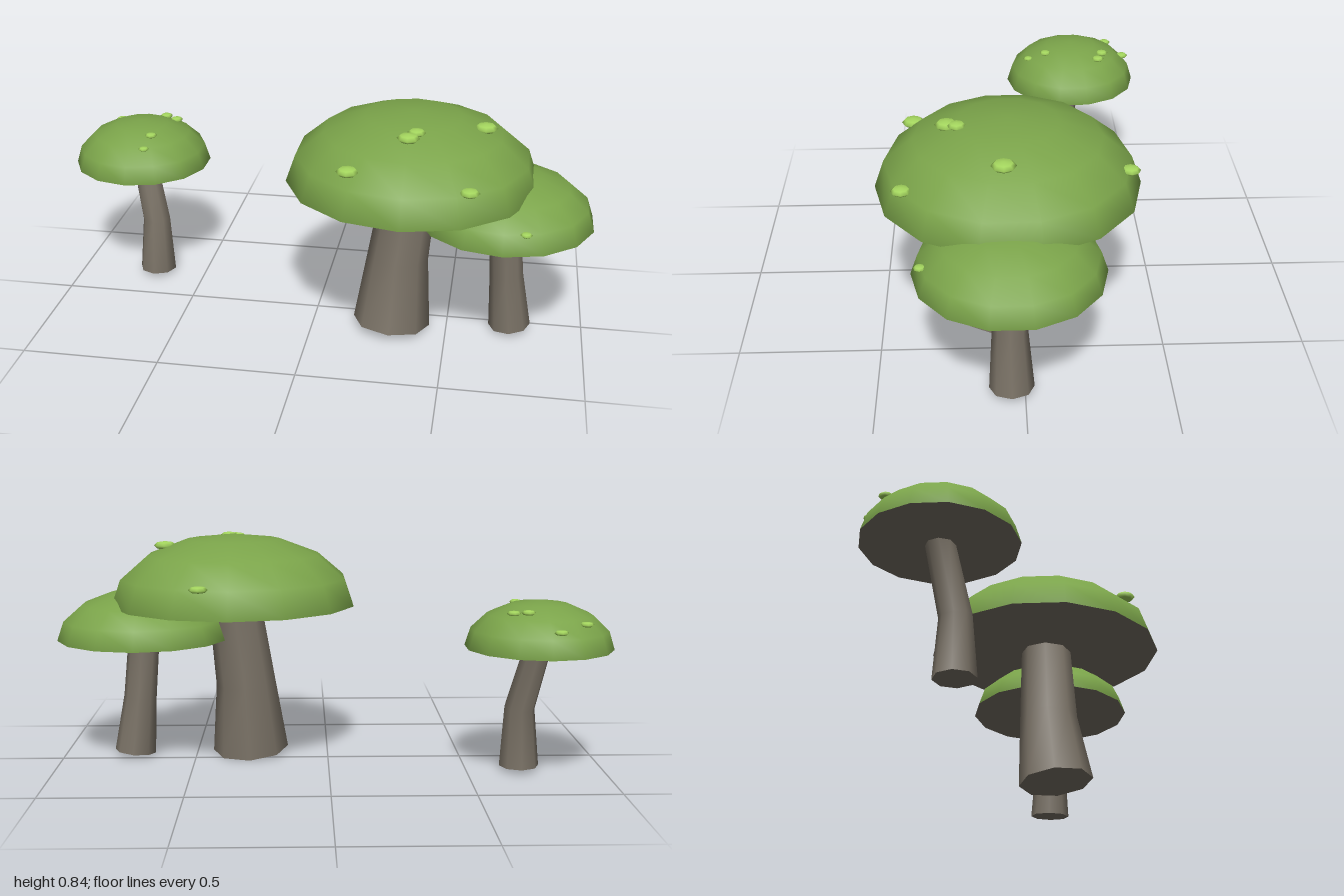
import * as THREE from 'three';
import { toCreasedNormals } from 'three/addons/utils/BufferGeometryUtils.js';

const flat = (name, color) => {
  const m = new THREE.MeshStandardMaterial({ color });
  m.name = name;
  return m;
};

// Each mushroom: cap centre (rim height), radius and height;
// stem rings as [x, y, z, radius]; spots as [x, z, radius]
const MUSHROOMS = [
  {
    name: 'largeMushroom', centre: [0.35, 0.585, 0.045], radius: 0.455, height: 0.26,
    stem: [[0.295, 0.016, 0.087, 0.143], [0.31, 0.28, 0.06, 0.112], [0.35, 0.6, 0.05, 0.098]],
    spots: [[0.16, 0.37, 0.04], [0.35, 0.25, 0.04], [0.375, 0.215, 0.032],
      [0.57, 0.395, 0.035], [0.605, 0.065, 0.042], [0.45, -0.36, 0.034]],
  },
  {
    name: 'mediumMushroom', centre: [0.69, 0.455, 0.05], radius: 0.32, height: 0.185,
    stem: [[0.733, 0.017, 0.045, 0.077], [0.71, 0.23, 0.05, 0.061], [0.69, 0.465, 0.05, 0.058]],
    spots: [[0.765, 0.335, 0.021]],
  },
  {
    name: 'smallMushroom', centre: [-0.743, 0.465, -0.243], radius: 0.263, height: 0.17,
    stem: [[-0.693, 0.018, -0.19, 0.072], [-0.69, 0.235, -0.193, 0.055], [-0.743, 0.475, -0.243, 0.05]],
    spots: [[-0.875, -0.4, 0.025], [-0.775, -0.465, 0.025], [-0.68, -0.37, 0.025],
      [-0.633, -0.35, 0.025], [-0.675, -0.135, 0.023], [-0.685, -0.065, 0.02]],
  },
];

// Eight-sided stem bent through three rings, each ring square to the path
function stemGeometry(rings) {
  const geo = new THREE.CylinderGeometry(1, 1, 2, 8, 2);
  const centres = rings.map(([x, y, z]) => new THREE.Vector3(x, y, z));
  const up = new THREE.Vector3(0, 1, 0);
  const turns = centres.map((_, i) => {
    const along = centres[Math.min(i + 1, 2)].clone().sub(centres[Math.max(i - 1, 0)]);
    return new THREE.Quaternion().setFromUnitVectors(up, along.normalize());
  });
  turns[2].identity(); // top ring lies level inside the cap
  const pos = geo.attributes.position;
  const v = new THREE.Vector3();
  for (let k = 0; k < pos.count; k++) {
    const i = Math.round(pos.getY(k)) + 1;
    v.set(pos.getX(k), 0, pos.getZ(k)).multiplyScalar(rings[i][3]);
    v.applyQuaternion(turns[i]).add(centres[i]);
    pos.setXYZ(k, v.x, v.y, v.z);
  }
  return toCreasedNormals(geo, 1);
}

export function createModel() {
  const green = flat('cap green', 0x7ba44a);
  const brown = flat('stem brown', 0x7a7266);
  const lime = flat('spot lime', 0xa4d65e);

  const dome = new THREE.SphereGeometry(1, 14, 4, Math.PI / 2, Math.PI * 2, 0, Math.PI / 2);
  const disc = new THREE.CircleGeometry(1, 14, Math.PI / 2).rotateX(Math.PI / 2);
  const bead = new THREE.SphereGeometry(1, 8, 4);

  const model = new THREE.Group();
  model.name = 'mushrooms';

  for (const { name, centre, radius, height, stem, spots } of MUSHROOMS) {
    const group = new THREE.Group();
    group.name = name;
    const add = (part, geo, mat) => {
      const mesh = new THREE.Mesh(geo, mat);
      mesh.name = part;
      group.add(mesh);
      return mesh;
    };

    add('stem', stemGeometry(stem), brown);

    // Domed cap with a flat underside
    const cap = add('cap', dome, green);
    cap.position.set(...centre);
    cap.scale.set(radius, height, radius);
    const underside = add('capUnderside', disc, brown);
    underside.position.set(...centre);
    underside.scale.set(radius, 1, radius);

    // Flattened beads resting on the dome
    for (const [x, z, r] of spots) {
      const t = Math.hypot(x - centre[0], z - centre[2]) / radius;
      const spot = add('spot', bead, lime);
      spot.position.set(x, centre[1] + height * Math.sqrt(Math.max(0, 1 - t * t)), z);
      spot.scale.set(r, r * 0.38, r);
    }
    model.add(group);
  }
  return model;
}
